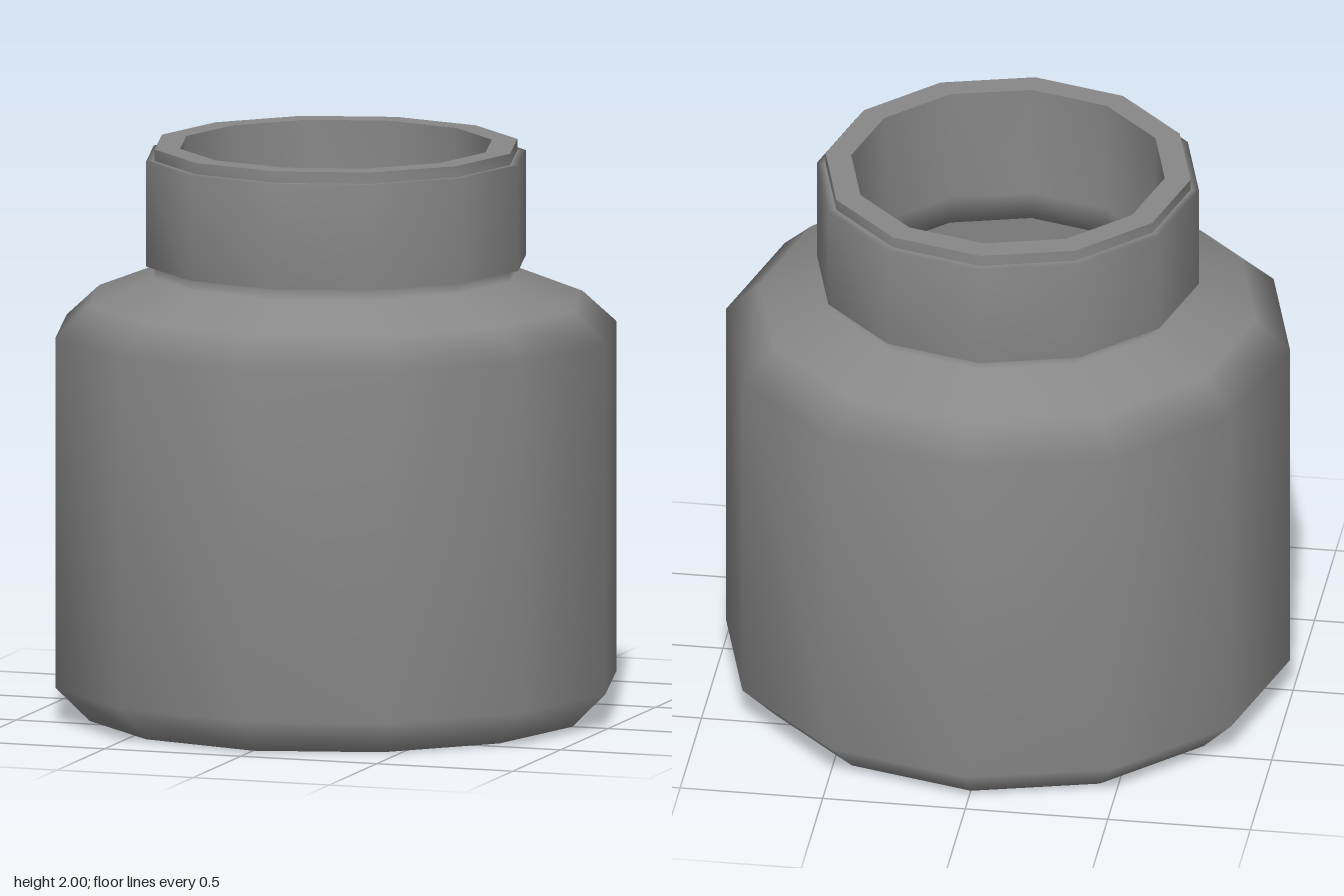
import * as THREE from 'three';
import { mergeVertices } from 'three/addons/utils/BufferGeometryUtils.js';

const SIDES = 12;
const material = new THREE.MeshStandardMaterial({ color: 0x888888 });

// Twelve-sided surface of revolution with area-weighted smooth normals;
// each call is one smooth surface, so creases lie between calls.
function turned(name, profile) {
  const points = profile.map(([r, y]) => new THREE.Vector2(r, y));
  let geometry = new THREE.LatheGeometry(points, SIDES);
  geometry.deleteAttribute('normal');
  geometry.deleteAttribute('uv');
  geometry = mergeVertices(geometry, 1e-4);
  geometry.computeVertexNormals();
  const mesh = new THREE.Mesh(geometry, material);
  mesh.name = name;
  return mesh;
}

export function createModel() {
  const jar = new THREE.Group();
  jar.name = 'jar';

  // Outside of the jar: flat base, chamfered wall, sloping shoulder
  jar.add(turned('base', [[0, 0], [0.87, 0]]));
  jar.add(turned('body', [
    [0.87, 0], [0.99, 0.12], [0.99, 1.35], [0.87, 1.46], [0.64, 1.55], [0.64, 1.59],
  ]));

  // Raised collar around the neck, softly shaded over its edges
  jar.add(turned('collar', [[0.64, 1.59], [0.67, 1.59], [0.67, 1.96], [0.64, 1.96]]));

  // Lip and rim of the opening
  jar.add(turned('lip', [[0.64, 1.96], [0.64, 2]]));
  jar.add(turned('rim', [[0.64, 2], [0.55, 2]]));

  // Hollow inside, following the outer shape
  jar.add(turned('inside', [
    [0.55, 2], [0.55, 1.59], [0.55, 1.49], [0.83, 1.38], [0.9, 1.31],
    [0.9, 0.16], [0.83, 0.09], [0, 0.09],
  ]));

  return jar;
}
